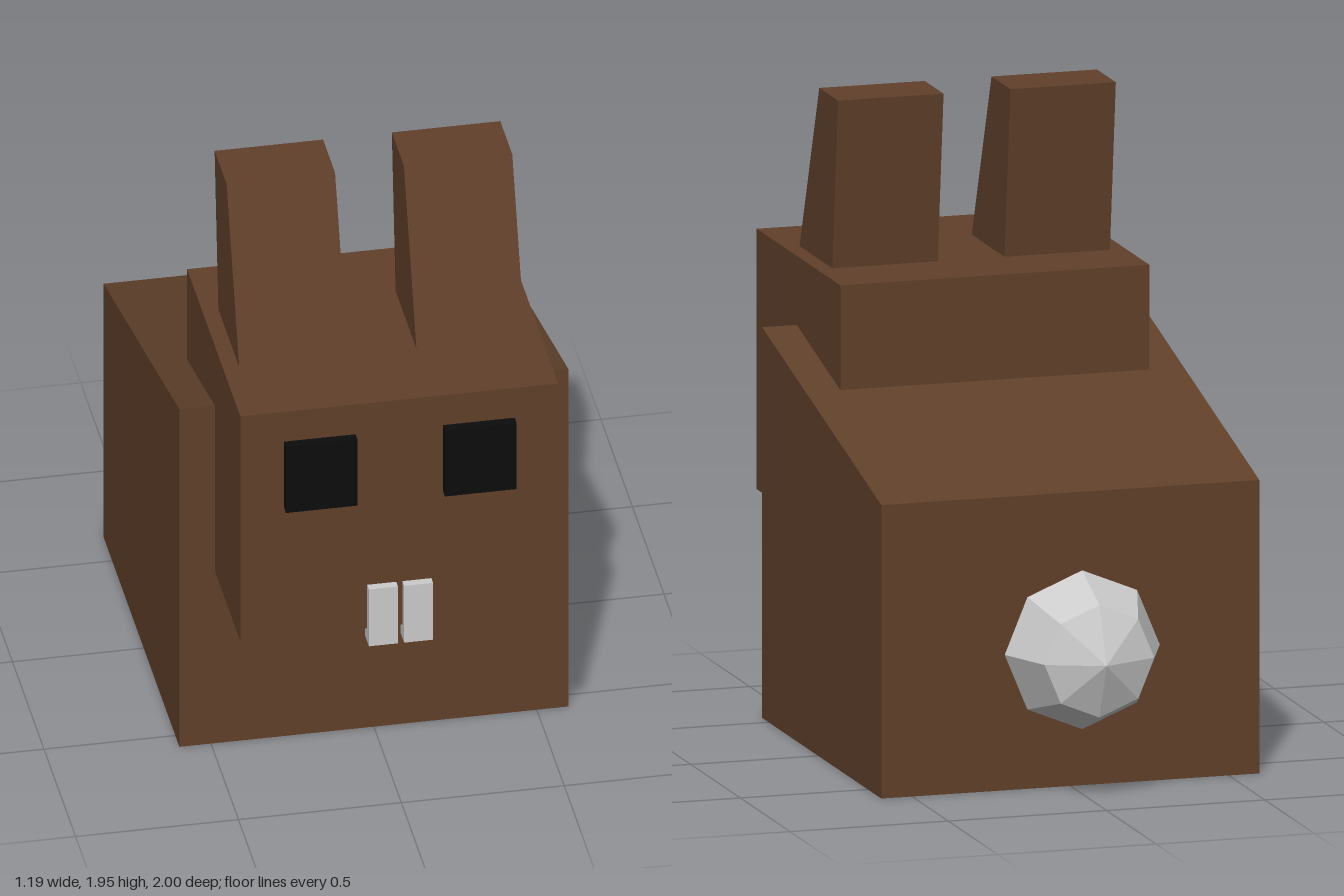
import * as THREE from 'three';

const material = (color) => new THREE.MeshStandardMaterial({ color, flatShading: true });

// Side outline of [z, y] points, extruded across x and centred on x = 0
function prism(outline, width) {
  const shape = new THREE.Shape(outline.map(([z, y]) => new THREE.Vector2(z, y)));
  const geometry = new THREE.ExtrudeGeometry(shape, { depth: width, bevelEnabled: false });
  return geometry.translate(0, 0, -width / 2).rotateY(-Math.PI / 2);
}

// Upright block: width in x, then bottom/top in y and back/front in z
const block = (width, y0, y1, z0, z1) =>
  new THREE.BoxGeometry(width, y1 - y0, z1 - z0).translate(0, (y0 + y1) / 2, (z0 + z1) / 2);

export function createModel() {
  const model = new THREE.Group();
  model.name = 'blockRabbit';
  const fur = material(0x60402a);
  const black = material(0x0c0c0c);
  const grey = material(0xcccccc);

  const add = (name, geometry, mat, x = 0) => {
    const mesh = new THREE.Mesh(geometry, mat);
    mesh.name = name;
    mesh.position.x = x;
    model.add(mesh);
    return mesh;
  };

  // Body with its back sloping down towards the tail
  add('body', prism([[-0.635, 0], [0.565, 0], [0.565, 1.205], [-0.635, 0.905]], 1.194), fur);
  add('head', block(0.976, 0.615, 1.418, 0.125, 0.968), fur);

  // Mirrored pairs: ears taper and lean back
  const ear = prism([[0.365, 1.41], [0.697, 1.41], [0.495, 1.947], [0.305, 1.947]], 0.333);
  const eye = block(0.22, 1.077, 1.312, 0.94, 1);
  const tooth = block(0.089, 0.567, 0.77, 0.935, 0.995);
  for (const [side, s] of [['left', 1], ['right', -1]]) {
    add(side + 'Ear', ear, fur, s * 0.272);
    add(side + 'Eye', eye, black, s * 0.244);
    add(side + 'Tooth', tooth, grey, s * 0.054);
  }

  // Faceted tail ball, poles along z
  const tail = add('tail', new THREE.SphereGeometry(0.245, 8, 4).rotateX(Math.PI / 2), grey);
  tail.position.set(0, 0.445, -0.755);

  return model;
}
